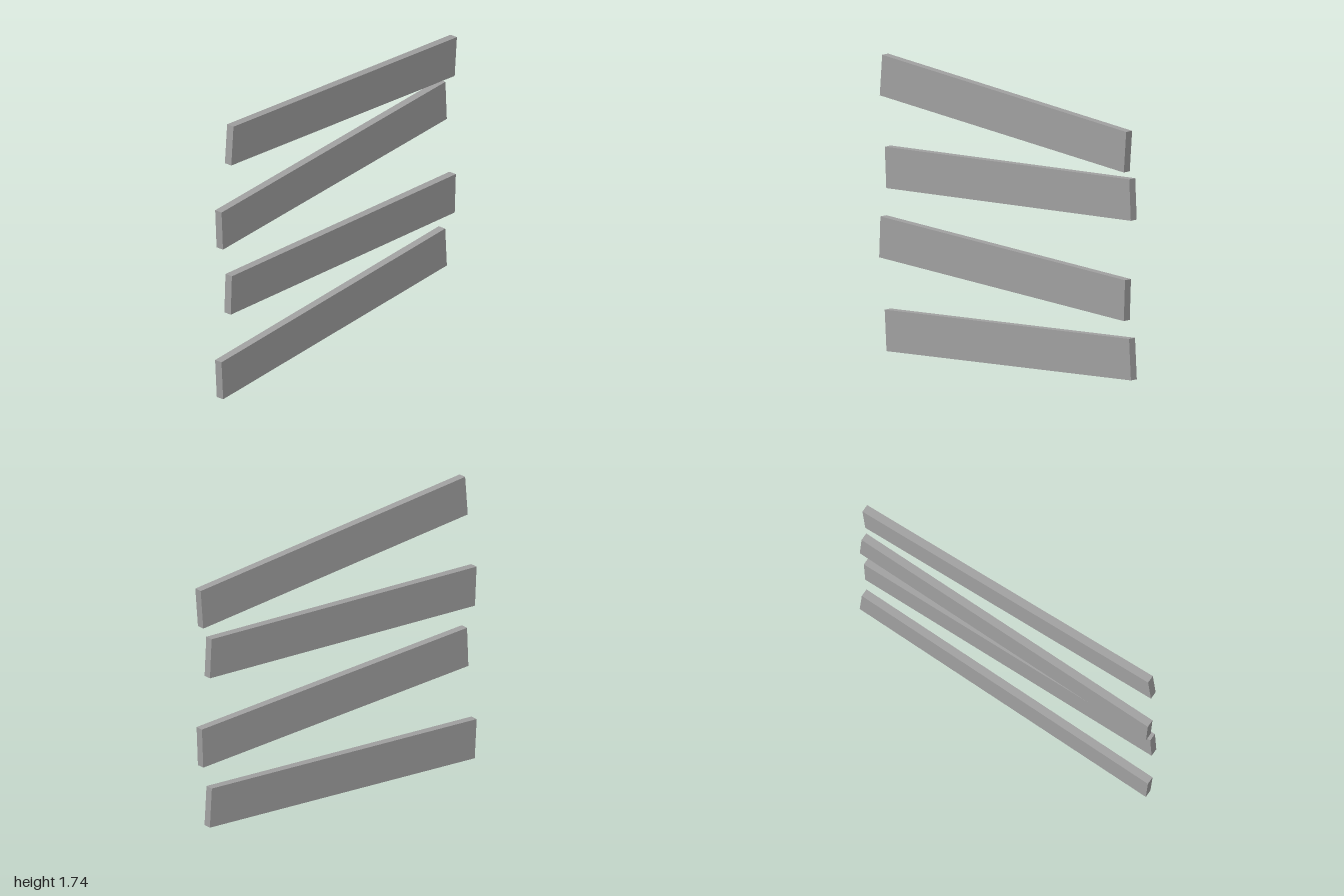
import * as THREE from 'three';

// Four tilted planks, alternating between a back and a front layer
const LENGTH = 1.97, HEIGHT = 0.24, DEPTH = 0.048, LAYER = 0.029;

export function createModel() {
  const group = new THREE.Group();
  group.name = 'planks';
  const grey = new THREE.MeshStandardMaterial({ color: 0xa0a0a0 });
  grey.name = 'plankGrey';
  const geometry = new THREE.BoxGeometry(LENGTH, HEIGHT, DEPTH);

  // name, centre x, centre y, layer side, tilt in radians
  const planks = [
    ['bottomPlank', -0.01, 0.18, -1, 0.061],
    ['lowerPlank', 0.002, 0.635, 1, -0.041],
    ['upperPlank', -0.01, 1.12, -1, 0.051],
    ['topPlank', 0.009, 1.54, 1, -0.081],
  ];
  for (const [name, x, y, side, tilt] of planks) {
    const plank = new THREE.Mesh(geometry, grey);
    plank.name = name;
    plank.position.set(x, y, side * LAYER);
    plank.rotation.z = tilt;
    group.add(plank);
  }
  return group;
}
